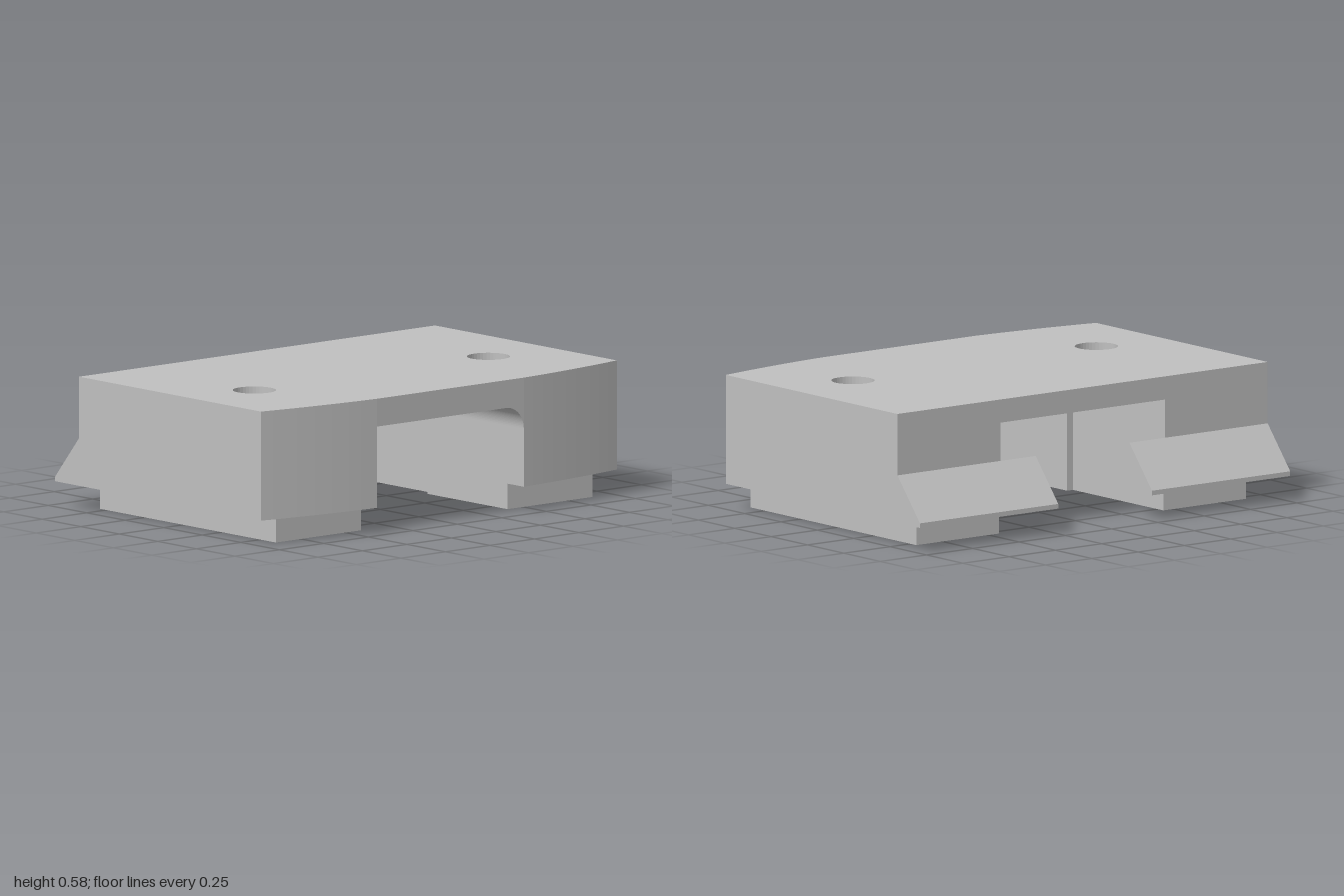
import * as THREE from 'three';

const FRONT = 0.705, BACK = -0.55, STEP = 0.08, ROOF = 0.48, BASE = 0.11;
const INNER = 0.412, INNER_BACK = 0.444;

export function createModel() {
  const group = new THREE.Group();
  const grey = new THREE.MeshStandardMaterial({ color: 0xc0c0c0 });

  const add = (name, geometry) => {
    const mesh = new THREE.Mesh(geometry, grey);
    mesh.name = name;
    group.add(mesh);
    return mesh;
  };

  // Round bolt hole in a plan shape (plan y is -z)
  const drill = (shape, x) => {
    const hole = new THREE.Path();
    hole.absarc(x, -0.195, 0.092, 0, Math.PI * 2, true);
    shape.holes.push(hole);
  };

  // Extrude a plan shape from y0 up to y1
  const slab = (shape, y0, y1) => {
    const g = new THREE.ExtrudeGeometry(shape, { depth: y1 - y0, bevelEnabled: false, curveSegments: 20 });
    return g.rotateX(-Math.PI / 2).translate(0, y0, 0);
  };

  // Roof plate with a bowed front edge
  const roof = new THREE.Shape();
  roof.moveTo(-1, -BACK);
  roof.lineTo(-1, -0.63);
  roof.quadraticCurveTo(-0.7, -0.687, -INNER, -FRONT);
  roof.lineTo(INNER, -FRONT);
  roof.quadraticCurveTo(0.7, -0.687, 1, -0.63);
  roof.lineTo(1, -BACK);
  roof.closePath();
  drill(roof, -0.66);
  drill(roof, 0.655);
  add('roofPlate', slab(roof, ROOF, 0.58));

  for (const s of [1, -1]) {
    const side = s > 0 ? 'left' : 'right';
    const holeX = s > 0 ? 0.655 : -0.66;

    // Side block, with the channel slightly wider towards the back
    const block = new THREE.Shape();
    block.moveTo(s * INNER, -FRONT);
    block.quadraticCurveTo(s * 0.7, -0.687, s, -0.63);
    block.lineTo(s, -BACK);
    block.lineTo(s * INNER_BACK, -BACK);
    block.lineTo(s * INNER_BACK, -STEP);
    block.lineTo(s * INNER, -STEP);
    block.closePath();
    drill(block, holeX);
    add(side + 'Block', slab(block, BASE, ROOF));

    // Foot pad under the block
    const pad = new THREE.Shape();
    pad.moveTo(s * INNER, -0.6);
    pad.lineTo(s * 0.89, -0.6);
    pad.lineTo(s * 0.89, 0.54);
    pad.lineTo(s * INNER_BACK, 0.54);
    pad.lineTo(s * INNER_BACK, -STEP);
    pad.lineTo(s * INNER, -STEP);
    pad.closePath();
    drill(pad, holeX);
    add(side + 'Pad', slab(pad, 0, BASE));

    // Sloped ledge along the back, reaching into the channel
    const wedge = new THREE.Shape();
    wedge.moveTo(-BACK, BASE);
    wedge.lineTo(0.705, BASE);
    wedge.lineTo(0.705, 0.13);
    wedge.lineTo(-BACK, 0.315);
    wedge.closePath();
    const ledge = new THREE.ExtrudeGeometry(wedge, { depth: 0.747, bevelEnabled: false });
    ledge.rotateY(Math.PI / 2).translate(s > 0 ? 0.253 : -1, 0, 0);
    add(side + 'Ledge', ledge);
  }

  // Lower ceiling over the front part of the channel
  const ceiling = new THREE.BoxGeometry(INNER * 2, 0.02, FRONT - STEP);
  add('channelCeiling', ceiling).position.set(0, 0.47, (FRONT + STEP) / 2);

  // Rounded inside corner on one side of the channel
  const r = 0.1;
  const corner = new THREE.Shape();
  corner.moveTo(INNER, 0.46);
  corner.lineTo(INNER - r, 0.46);
  corner.absarc(INNER - r, 0.46 - r, r, Math.PI / 2, 0, true);
  corner.closePath();
  const fillet = new THREE.ExtrudeGeometry(corner, { depth: FRONT - STEP, bevelEnabled: false, curveSegments: 12 });
  add('channelFillet', fillet.translate(0, 0, STEP));

  // Thin skirt continuing the channel wall in front of the pad
  const skirt = new THREE.PlaneGeometry(FRONT - 0.6, BASE).rotateY(Math.PI / 2);
  add('wallSkirt', skirt).position.set(-INNER, BASE / 2, (FRONT + 0.6) / 2);

  return group;
}
